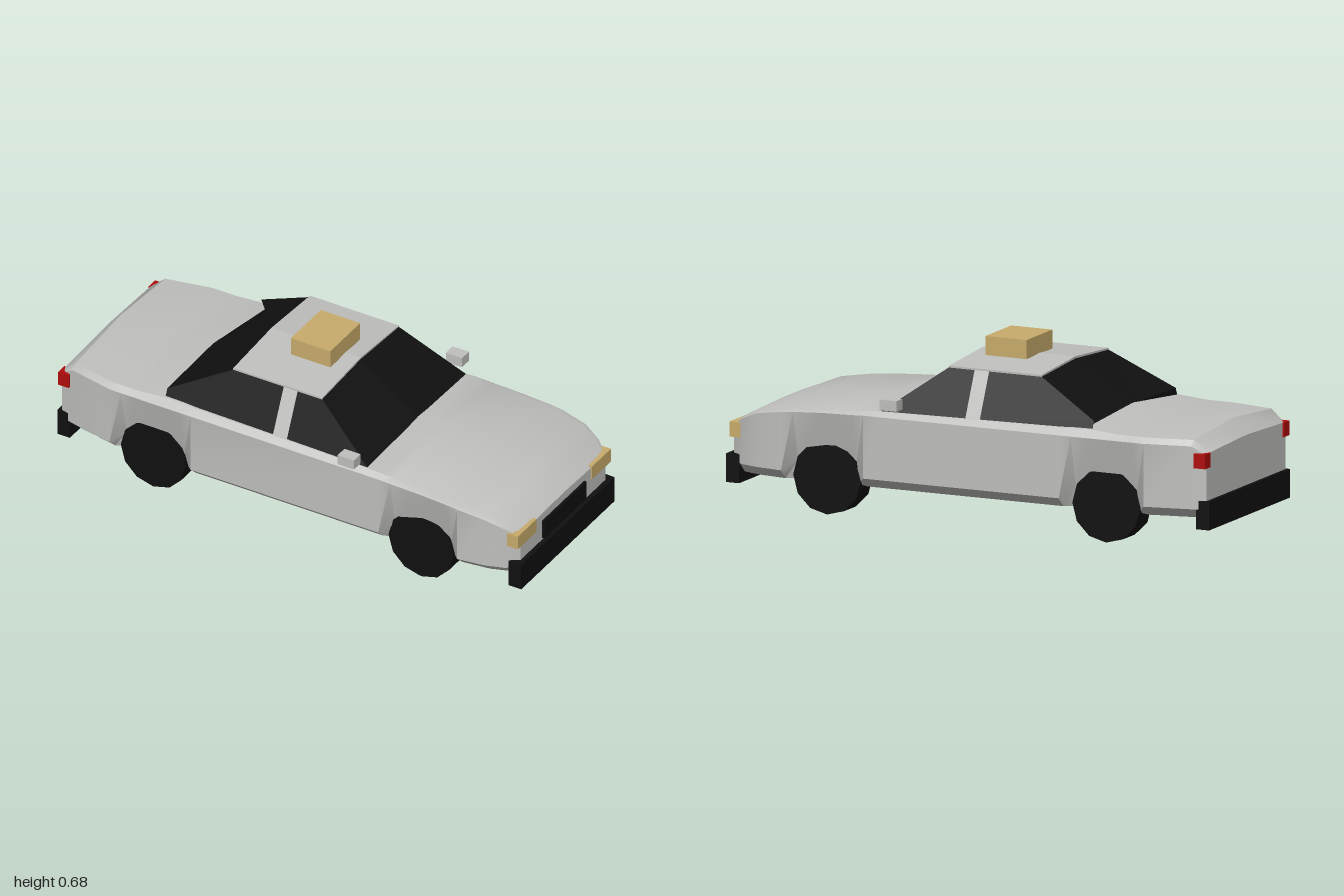
import * as THREE from 'three';
import { toCreasedNormals } from 'three/addons/utils/BufferGeometryUtils.js';

const mat = (name, color, side = THREE.FrontSide) => {
  const m = new THREE.MeshStandardMaterial({ color, side });
  m.name = name;
  return m;
};

export function createModel() {
  const car = new THREE.Group();
  car.name = 'car';
  const paint = mat('silver paint', 0xbfbfbd, THREE.DoubleSide);
  const black = mat('black', 0x101010, THREE.DoubleSide);
  const amber = mat('pale amber', 0xc8ac6c);
  const red = mat('red', 0xb00c0c);

  const add = (name, geometry, material) => {
    const mesh = new THREE.Mesh(geometry, material);
    mesh.name = name;
    car.add(mesh);
    return mesh;
  };
  // Box given by its limits on each axis
  const box = (name, material, [x0, x1], [y0, y1], [z0, z1]) =>
    add(name, new THREE.BoxGeometry(x1 - x0, y1 - y0, z1 - z0), material)
      .position.set((x0 + x1) / 2, (y0 + y1) / 2, (z0 + z1) / 2);
  // Convex flat panels, each a list of corners, triangulated as fans
  const panels = (name, material, faces) => {
    const pos = [];
    for (const f of faces)
      for (let i = 1; i < f.length - 1; i++) pos.push(...f[0], ...f[i], ...f[i + 1]);
    const g = new THREE.BufferGeometry();
    g.setAttribute('position', new THREE.Float32BufferAttribute(pos, 3));
    g.computeVertexNormals();
    return add(name, g, material);
  };

  // Body shell: x, half width, shoulder height, centre height, wheel-arch tuck (0..1)
  const stations = [
    [-0.985, 0.33, 0.36, 0.38, 0], [-0.93, 0.345, 0.395, 0.44, 0],
    [-0.75, 0.382, 0.395, 0.44, 0], [-0.7, 0.383, 0.395, 0.44, 0.9],
    [-0.64, 0.383, 0.395, 0.44, 1], [-0.52, 0.383, 0.395, 0.462, 1],
    [-0.45, 0.383, 0.395, 0.46, 0.85], [-0.4, 0.383, 0.395, 0.455, 0],
    [0.35, 0.383, 0.395, 0.435, 0], [0.41, 0.383, 0.395, 0.43, 0],
    [0.46, 0.383, 0.393, 0.424, 0.85], [0.58, 0.383, 0.39, 0.413, 1],
    [0.7, 0.383, 0.383, 0.4, 0.9], [0.75, 0.382, 0.378, 0.394, 0],
    [0.86, 0.367, 0.36, 0.38, 0], [0.93, 0.343, 0.33, 0.347, 0],
    [0.98, 0.308, 0.295, 0.31, 0],
  ];
  const rings = stations.map(([x, w, s, c, t]) => {
    const half = [
      [w - 0.04 - 0.03 * t, 0.12], [w - 0.05 * t, 0.157 + 0.04 * t],
      [w, s], [w - 0.022, s + (c - s) * 0.45],
    ];
    return [[0, 0.12], ...half, [0, c], ...half.map(([z, y]) => [-z, y]).reverse()]
      .map(([z, y]) => [x, y, z]);
  });
  const n = rings[0].length;
  const shell = [];
  for (let j = 0; j < n; j++) {
    const k = (j + 1) % n;
    for (let i = 0; i < rings.length - 1; i++) {
      const [a, b] = [rings[i], rings[i + 1]];
      shell.push([a[j], b[j], b[k]], [a[j], b[k], a[k]]);
    }
  }
  shell.push(rings[0], [...rings[rings.length - 1]].reverse());
  const body = panels('body', paint, shell);
  body.geometry = toCreasedNormals(body.geometry, 0.55);

  // Cabin: sloping sides with a pillar between the two windows
  const low = (x, s) => [x, 0.408, 0.36 * s];
  const high = (x, s) => [x, 0.588, 0.277 * s];
  const mid = (s) => [-0.525, 0.453, 0.34 * s];
  for (const s of [1, -1]) {
    const side = s > 0 ? 'left' : 'right';
    const face = (f) => (s > 0 ? f : [...f].reverse());
    panels(side + 'RearWindow', black, [face([low(-0.525, s), low(-0.06, s), high(-0.06, s), high(-0.275, s), mid(s)])]);
    panels(side + 'Pillar', paint, [face([low(-0.06, s), low(0, s), high(0, s), high(-0.06, s)])]);
    panels(side + 'FrontWindow', black, [face([low(0, s), low(0.355, s), high(0.105, s), high(0, s)])]);
  }
  panels('windscreen', black, [1, -1].map((s) => {
    const f = [low(0.355, s), [0.355, 0.436, 0], [0.105, 0.605, 0], high(0.105, s)];
    return s > 0 ? f : f.reverse();
  }));
  panels('rearScreen', black, [1, -1].map((s) => {
    const f = [[-0.525, 0.46, 0], low(-0.525, s), mid(s), high(-0.275, s), [-0.275, 0.605, 0]];
    return s > 0 ? f : f.reverse();
  }));

  // Roof panel with a shallow central ridge
  const roofShape = new THREE.Shape([
    [-0.278, 0.586], [0, 0.604], [0.278, 0.586], [0.278, 0.593], [0, 0.612], [-0.278, 0.593],
  ].map(([z, y]) => new THREE.Vector2(z, y)));
  const roof = new THREE.ExtrudeGeometry(roofShape, { depth: 0.384, bevelEnabled: false });
  add('roof', roof.rotateY(Math.PI / 2).translate(-0.278, 0, 0), paint);
  box('roofSign', amber, [-0.13, 0.04], [0.608, 0.68], [-0.108, 0.108]);

  // Bumpers and grille
  box('frontBumper', black, [0.945, 1], [0.082, 0.19], [-0.338, 0.338]);
  box('rearBumper', black, [-1, -0.947], [0.082, 0.19], [-0.338, 0.338]);
  box('grille', black, [0.97, 0.99], [0.198, 0.275], [-0.153, 0.153]);

  // Lamps, mirrors and wheels on both sides
  const wheel = new THREE.CylinderGeometry(0.14, 0.14, 0.1, 12).rotateX(Math.PI / 2);
  for (const s of [1, -1]) {
    const side = s > 0 ? 'left' : 'right';
    const span = (a, b) => (s > 0 ? [a, b] : [-b, -a]);
    box(side + 'Headlamp', amber, [0.93, 0.985], [0.255, 0.312], span(0.2, 0.337));
    box(side + 'TailLamp', red, [-0.99, -0.943], [0.315, 0.37], span(0.305, 0.352));
    box(side + 'Mirror', paint, [0.255, 0.325], [0.43, 0.47], span(0.367, 0.417));
    for (const x of [-0.58, 0.575])
      add(side + (x > 0 ? 'FrontWheel' : 'RearWheel'), wheel, black).position.set(x, 0.14, 0.3 * s);
  }
  return car;
}
